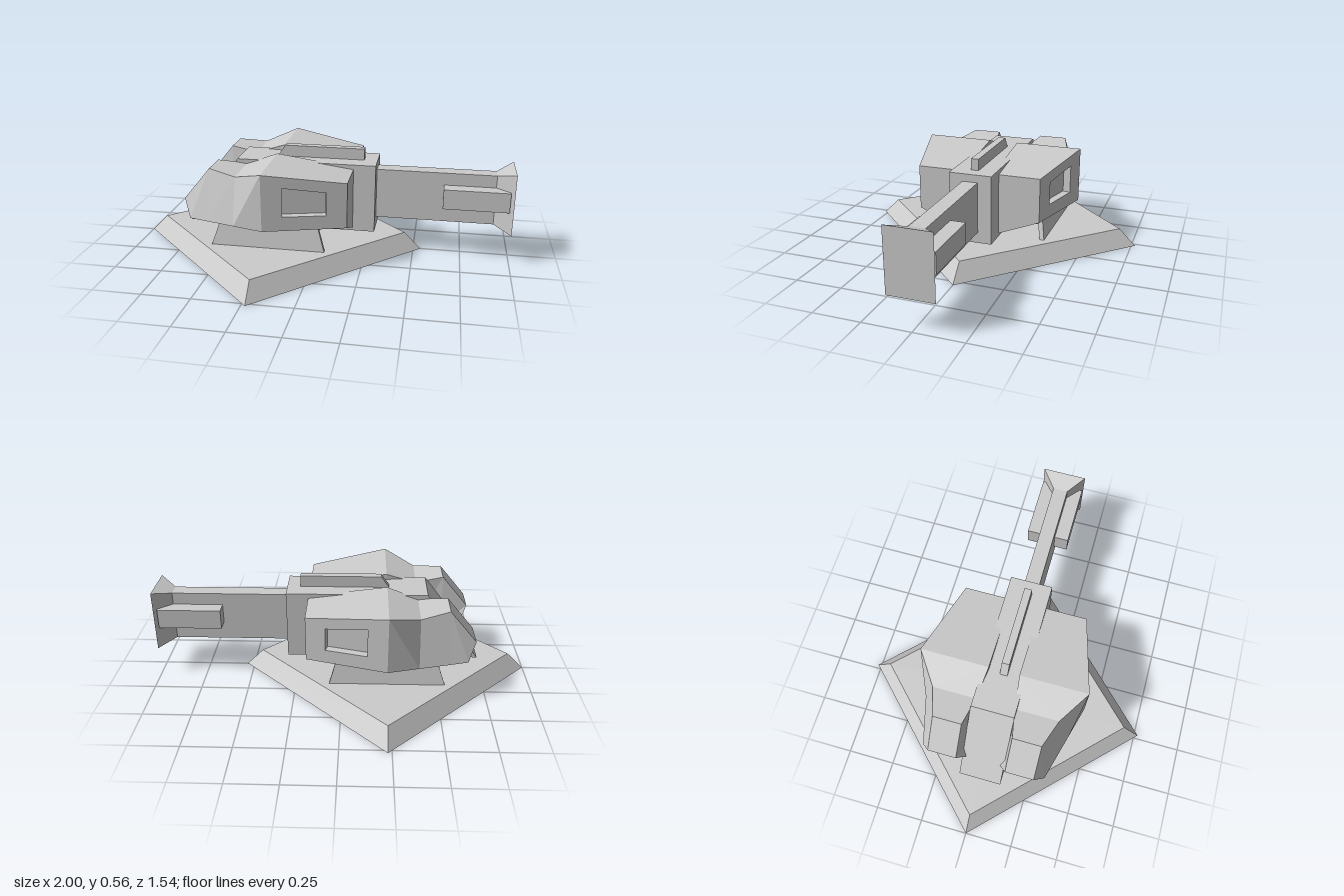
import * as THREE from 'three';

const solid = new THREE.MeshStandardMaterial({ color: 0xcccccc, flatShading: true });
const thin = new THREE.MeshStandardMaterial({ color: 0xcccccc, flatShading: true, side: THREE.DoubleSide });

function add(parent, name, geometry, material = solid) {
  const mesh = new THREE.Mesh(geometry, material);
  mesh.name = name;
  parent.add(mesh);
  return mesh;
}

function box(parent, name, x0, x1, y0, y1, z0, z1) {
  const mesh = add(parent, name, new THREE.BoxGeometry(x1 - x0, y1 - y0, z1 - z0));
  mesh.position.set((x0 + x1) / 2, (y0 + y1) / 2, (z0 + z1) / 2);
  return mesh;
}

// Skins a series of equal-length loops; side = -1 mirrors the result across z
function loft(loops, { side = 1, startCap = true, skip = () => false } = {}) {
  const out = [];
  const tri = (a, b, c) => {
    for (const p of side > 0 ? [a, b, c] : [a, c, b]) out.push(p[0], p[1], p[2] * side);
  };
  const n = loops[0].length;
  for (let s = 0; s < loops.length - 1; s++) {
    const a = loops[s], b = loops[s + 1];
    for (let i = 0; i < n; i++) {
      if (skip(s, i)) continue;
      const j = (i + 1) % n;
      tri(a[i], a[j], b[i]);
      tri(a[j], b[j], b[i]);
    }
  }
  const first = loops[0], last = loops[loops.length - 1];
  for (let i = 1; i < n - 1; i++) {
    if (startCap) tri(first[0], first[i + 1], first[i]);
    tri(last[0], last[i], last[i + 1]);
  }
  const g = new THREE.BufferGeometry();
  g.setAttribute('position', new THREE.Float32BufferAttribute(out, 3));
  g.computeVertexNormals();
  return g;
}

function extrudeZ(points, depth) {
  const shape = new THREE.Shape(points.map(p => new THREE.Vector2(p[0], p[1])));
  return new THREE.ExtrudeGeometry(shape, { depth, bevelEnabled: false }).translate(0, 0, -depth / 2);
}

export function createModel() {
  const model = new THREE.Group();
  model.name = 'turret';

  // Hollow diamond base, open underneath
  const base = new THREE.Group();
  base.name = 'base';
  base.position.x = -0.23;
  model.add(base);
  add(base, 'baseRim', new THREE.CylinderGeometry(0.68, 0.77, 0.09, 4, 1, true), thin).position.y = 0.045;
  add(base, 'baseTop', new THREE.CircleGeometry(0.68, 4).rotateX(-Math.PI / 2), thin).position.y = 0.09;

  // Central hull with sloping tail, top rail and underside plate
  add(model, 'hull', extrudeZ([[-0.72, 0.13], [0.295, 0.13], [0.295, 0.495], [-0.44, 0.495]], 0.225));
  add(model, 'topRail', extrudeZ([[-0.245, 0.49], [0.225, 0.49], [0.225, 0.555], [-0.2, 0.555]], 0.04));
  box(model, 'undersidePlate', -0.45, 0.02, 0.16, 0.215, -0.285, 0.285);

  // Armour sections run from the front face back to the prong; corners go
  // inner bottom, middle bottom, outer lower, outer upper, inner top
  const armour = [
    [[0.18, 0.15, 0.08], [0.18, 0.15, 0.12], [0.18, 0.235, 0.33], [0.18, 0.47, 0.33], [0.18, 0.47, 0.08]],
    [[-0.23, 0.19, 0.08], [-0.23, 0.19, 0.14], [-0.23, 0.23, 0.44], [-0.23, 0.525, 0.44], [-0.23, 0.525, 0.08]],
    [[-0.39, 0.205, 0.08], [-0.39, 0.205, 0.16], [-0.39, 0.23, 0.397], [-0.39, 0.47, 0.33], [-0.39, 0.47, 0.1]],
    [[-0.54, 0.215, 0.09], [-0.54, 0.215, 0.18], [-0.54, 0.23, 0.357], [-0.54, 0.49, 0.28], [-0.54, 0.49, 0.13]],
    [[-0.64, 0.23, 0.09], [-0.64, 0.23, 0.2], [-0.64, 0.23, 0.33], [-0.68, 0.32, 0.28], [-0.68, 0.32, 0.13]],
  ];

  // Side panel frame, window opening and its recessed back
  const slope = 0.11 / 0.41;
  const windowCorners = [[-0.13, 0.305], [0.08, 0.305], [0.08, 0.425], [-0.13, 0.455]];
  const opening = windowCorners.map(([x, y]) => [x, y, 0.44 - slope * (x + 0.23)]);
  const recess = opening.map(([x, y, z]) => [x - 0.04 * slope, y, z - 0.04]);
  const outline = [armour[1][2], armour[0][2], armour[0][3], armour[1][3]];

  for (const side of [1, -1]) {
    const label = side > 0 ? 'front' : 'back';
    add(model, label + 'Armour', loft(armour, { side, skip: (s, i) => s === 0 && i === 2 }));
    add(model, label + 'WindowPanel', loft([outline, opening, recess], { side, startCap: false }));

    // Leaning support plate that passes through the base top
    const leg = add(model, label + 'Leg',
      extrudeZ([[-0.55, -0.06], [0.08, -0.06], [0.02, 0.15], [-0.48, 0.15]], 0.025));
    leg.position.set(0, 0.09, side * 0.315);
    leg.rotation.x = -side * 0.18;

    box(model, label + 'BarrelBlock', 0.645, 0.98, 0.285, 0.39, side > 0 ? 0.03 : -0.115, side > 0 ? 0.115 : -0.03);
  }

  // Flat barrel and flared muzzle
  box(model, 'barrel', 0.29, 0.92, 0.188, 0.455, -0.04, 0.04);
  const rect = (x, y0, y1, z) => [[x, y0, -z], [x, y0, z], [x, y1, z], [x, y1, -z]];
  add(model, 'muzzle', loft([rect(1, 0.16, 0.487, 0.118), rect(0.91, 0.188, 0.455, 0.04)]));

  return model;
}
